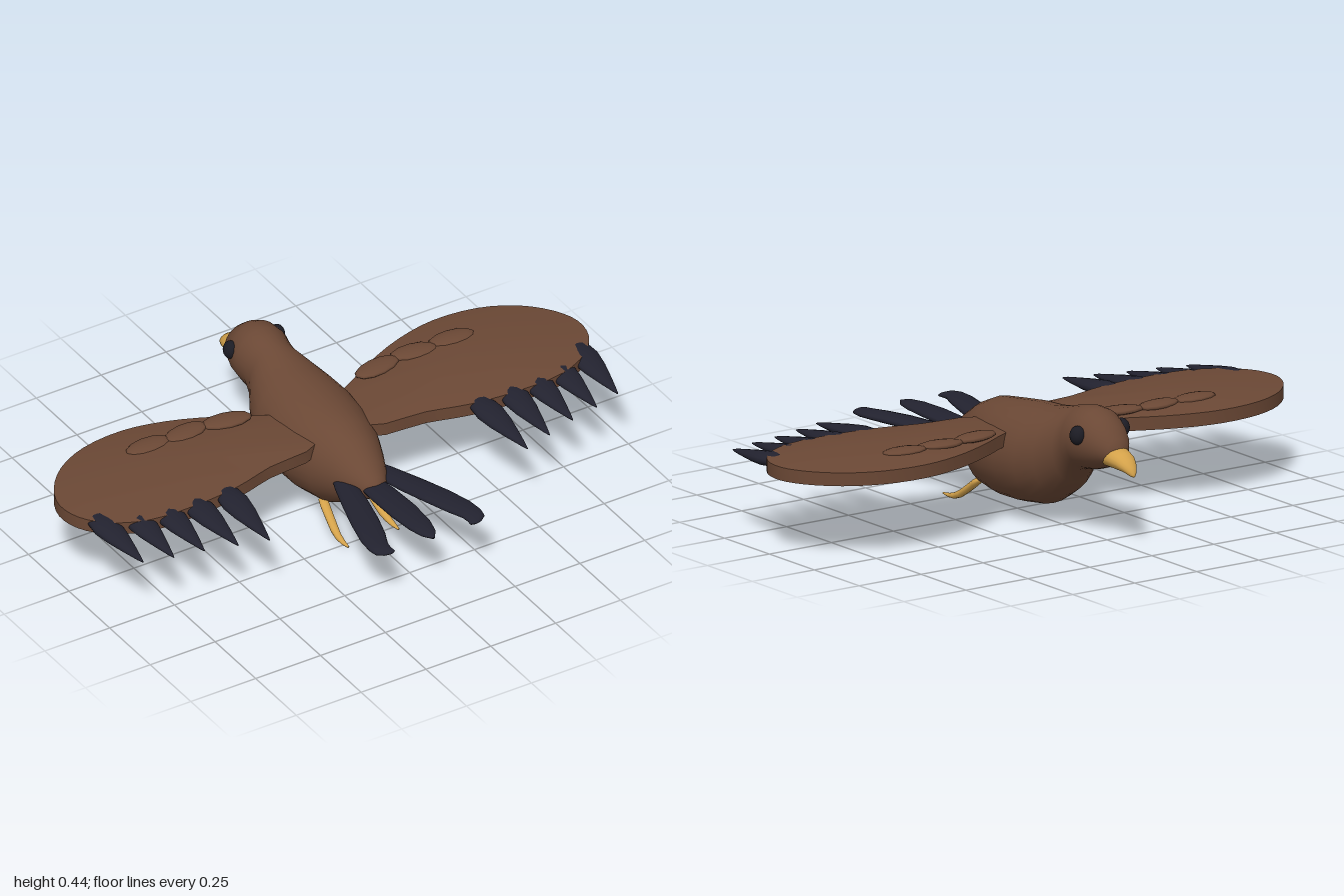
import * as THREE from 'three';
import { toCreasedNormals } from 'three/addons/utils/BufferGeometryUtils.js';

const mat = (name, color) => Object.assign(new THREE.MeshStandardMaterial({ color }), { name });

// Closed skin over a list of rings of Vector3; side = -1 mirrors in x
function skin(rings, side = 1) {
  const n = rings[0].length, pos = [], idx = [];
  rings.forEach((r) => {
    const ring = side < 0 ? [...r].reverse() : r;
    ring.forEach((p) => pos.push(p.x * side, p.y, p.z));
  });
  for (const r of [rings[0], rings[rings.length - 1]]) {
    const c = r.reduce((s, p) => s.add(p), new THREE.Vector3()).divideScalar(n);
    pos.push(c.x * side, c.y, c.z);
  }
  const last = (rings.length - 1) * n, c0 = rings.length * n;
  for (let j = 0; j < n; j++) {
    const k = (j + 1) % n;
    for (let i = 0; i < last; i += n) {
      idx.push(i + j, i + k, i + n + j, i + k, i + n + k, i + n + j);
    }
    idx.push(c0, k, j, c0 + 1, last + j, last + k);
  }
  const g = new THREE.BufferGeometry();
  g.setAttribute('position', new THREE.Float32BufferAttribute(pos, 3));
  g.setIndex(idx);
  g.computeVertexNormals();
  return g;
}

// Elliptical sections [x, y, z, halfWidth, halfHeight], z increasing
function loft(sections, side = 1, n = 16) {
  return skin(sections.map(([x, y, z, w, h]) => Array.from({ length: n }, (_, j) => {
    const a = (j / n) * Math.PI * 2;
    return new THREE.Vector3(x + w * Math.cos(a), y + h * Math.sin(a), z);
  })), side);
}

// Wing: outline rings shrinking into shallow domes above and below a flat rim
function wingGeometry(side) {
  const outline = [
    [0.1, 0.085], [0.3, 0.12], [0.45, 0.16], [0.62, 0.178], [0.8, 0.168], [0.92, 0.11],
    [0.985, 0.03], [1, -0.06], [0.965, -0.15], [0.88, -0.24], [0.76, -0.298], [0.6, -0.315],
    [0.45, -0.285], [0.3, -0.222], [0.19, -0.16], [0.1, -0.1],
  ];
  const pts = new THREE.CatmullRomCurve3(
    outline.map(([x, z]) => new THREE.Vector3(x, 0, z)), true).getPoints(48).slice(0, -1);
  const cx = 0.55, cz = -0.07;
  const ring = (s, y) => pts.map((p) => new THREE.Vector3(cx + (p.x - cx) * s, y, cz + (p.z - cz) * s));
  const scales = [0.15, 0.4, 0.65, 0.85, 1];
  const rings = [
    ...scales.map((s) => ring(s, 0.268 - 0.028 * (1 - s * s))),
    ...[...scales].reverse().map((s) => ring(s, 0.313 + 0.022 * (1 - s * s))),
  ];
  return toCreasedNormals(skin(rings, side), 0.7);
}

export function createModel() {
  const bird = new THREE.Group();
  bird.name = 'bird';
  const brown = mat('brown plumage', 0x6b4835);
  const dark = mat('dark feather', 0x22222f);
  const gold = mat('golden horn', 0xd4a24a);
  const eyeDark = mat('eye black', 0x1c1c24);
  const add = (name, geometry, material) => {
    const m = new THREE.Mesh(geometry, material);
    m.name = name;
    bird.add(m);
    return m;
  };

  // Body, neck and head in one skin: [z, top, bottom, halfWidth]
  const body = [
    [-0.572, 0.33, 0.29, 0.02], [-0.56, 0.358, 0.275, 0.045], [-0.53, 0.395, 0.262, 0.068],
    [-0.5, 0.42, 0.25, 0.083], [-0.46, 0.442, 0.237, 0.097], [-0.41, 0.444, 0.23, 0.102],
    [-0.37, 0.436, 0.215, 0.095], [-0.33, 0.426, 0.165, 0.1], [-0.27, 0.41, 0.108, 0.135],
    [-0.2, 0.398, 0.066, 0.162], [-0.1, 0.391, 0.053, 0.174], [0, 0.378, 0.05, 0.166],
    [0.1, 0.365, 0.06, 0.138], [0.17, 0.335, 0.1, 0.108], [0.24, 0.29, 0.148, 0.075],
    [0.285, 0.255, 0.178, 0.045], [0.305, 0.235, 0.195, 0.018],
  ];
  add('body', loft(body.map(([z, t, b, w]) => [0, (t + b) / 2, z, w, (t - b) / 2]), 1, 28), brown);

  // Hooked beak
  add('beak', loft([
    [0, 0.255, -0.651, 0.005, 0.006], [0, 0.265, -0.643, 0.016, 0.016],
    [0, 0.279, -0.625, 0.029, 0.022], [0, 0.29, -0.6, 0.04, 0.03],
    [0, 0.298, -0.56, 0.049, 0.036], [0, 0.293, -0.505, 0.046, 0.03],
  ]), gold);

  // Tail: middle feather
  add('tailFeatherMiddle', loft([
    [0, 0.214, 0.15, 0.03, 0.012], [0, 0.216, 0.22, 0.04, 0.016], [0, 0.222, 0.34, 0.048, 0.018],
    [0, 0.228, 0.46, 0.05, 0.017], [0, 0.231, 0.56, 0.042, 0.015], [0, 0.231, 0.615, 0.028, 0.012],
    [0, 0.23, 0.648, 0.005, 0.004],
  ]), dark);

  for (const side of [1, -1]) {
    const tag = side > 0 ? 'Left' : 'Right';

    add('wing' + tag, wingGeometry(side), brown);

    // Small covert feathers on top of the wing
    [[0.29, -0.165, 0.09, 0.16], [0.44, -0.178, 0.085, -0.12], [0.585, -0.178, 0.085, -0.05]]
      .forEach(([x, z, r, turn]) => {
        const g = new THREE.SphereGeometry(1, 12, 8).scale(r, 0.014, 0.042);
        g.rotateY(turn * side).translate(x * side, 0.328, z);
        add('covert' + tag, g, brown);
      });

    // Flight feathers: base x, tip x, start z, tip z
    [[0.925, 0.915, 0.02, 0.32], [0.812, 0.815, 0.05, 0.35], [0.712, 0.71, 0.08, 0.37],
      [0.61, 0.6, 0.1, 0.403], [0.488, 0.497, 0.115, 0.432]].forEach(([bx, tx, z0, z1]) => {
      const shape = [[0, 0.022, 0.008], [0.12, 0.042, 0.02], [0.3, 0.049, 0.023], [0.5, 0.041, 0.019],
        [0.75, 0.023, 0.012], [0.92, 0.009, 0.007], [1, 0.002, 0.002]];
      add('flightFeather' + tag, loft(shape.map(([t, w, h]) => [
        bx + (tx - bx) * t, 0.301 - 0.024 * t, z0 + (z1 - z0) * t, w, h]), side), dark);
    });

    // Outer tail feather with a curled tip
    add('tailFeather' + tag, loft([
      [0.055, 0.214, 0.15, 0.028, 0.012], [0.075, 0.216, 0.22, 0.038, 0.016],
      [0.108, 0.222, 0.34, 0.047, 0.018], [0.14, 0.228, 0.45, 0.05, 0.017],
      [0.166, 0.23, 0.54, 0.047, 0.015], [0.18, 0.23, 0.595, 0.037, 0.014],
      [0.179, 0.229, 0.625, 0.032, 0.012], [0.168, 0.228, 0.64, 0.024, 0.008],
      [0.164, 0.228, 0.647, 0.01, 0.003],
    ], side), dark);

    // Eye
    const eye = new THREE.SphereGeometry(1, 20, 14).scale(0.026, 0.032, 0.028);
    add('eye' + tag, eye.translate(0.089 * side, 0.364, -0.459), eyeDark);

    // Trailing leg
    add('leg' + tag, loft([
      [0.083, 0.092, 0.092, 0.013, 0.008], [0.085, 0.081, 0.115, 0.017, 0.015],
      [0.089, 0.055, 0.15, 0.016, 0.015], [0.093, 0.031, 0.185, 0.015, 0.014],
      [0.096, 0.018, 0.215, 0.012, 0.011], [0.097, 0.013, 0.245, 0.009, 0.007],
      [0.097, 0.013, 0.277, 0.004, 0.003],
    ], side, 12), gold);
  }

  // Rest the lowest point on the ground
  const box = new THREE.Box3().setFromObject(bird);
  bird.children.forEach((m) => m.geometry.translate(0, -box.min.y, 0));
  return bird;
}
